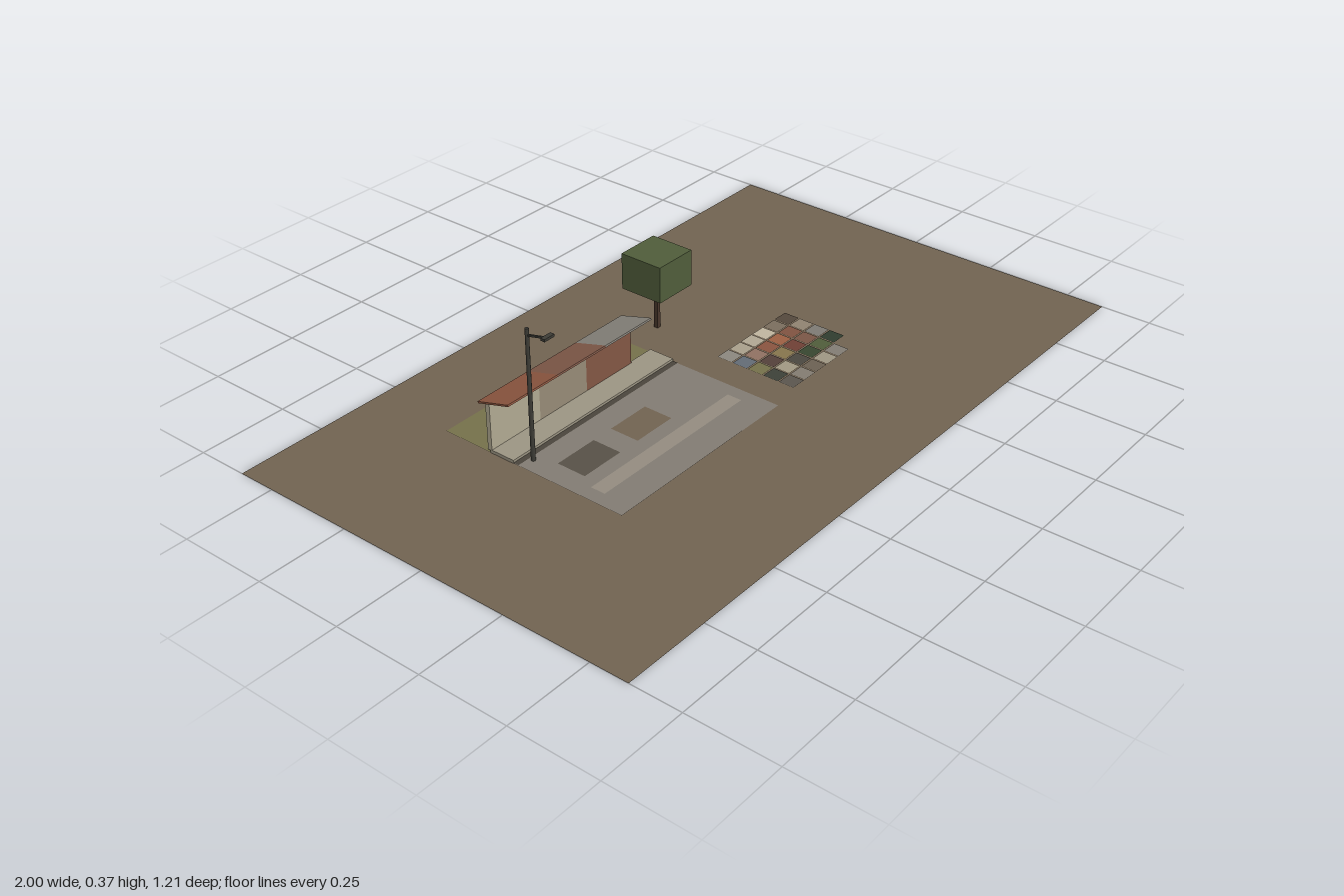
import * as THREE from 'three';

const material = (color) => new THREE.MeshStandardMaterial({ color, side: THREE.DoubleSide });

function addMesh(parent, name, geometry, color, x, y, z) {
  const mesh = new THREE.Mesh(geometry, material(color));
  mesh.name = name;
  mesh.position.set(x, y, z);
  parent.add(mesh);
  return mesh;
}

// Box given by its limits on each axis
function box(parent, name, color, [x0, x1], [y0, y1], [z0, z1]) {
  const geometry = new THREE.BoxGeometry(x1 - x0, y1 - y0, z1 - z0);
  return addMesh(parent, name, geometry, color, (x0 + x1) / 2, (y0 + y1) / 2, (z0 + z1) / 2);
}

// Flat patch lying on the ground at height y
function patch(parent, name, color, [x0, x1], [z0, z1], y) {
  const geometry = new THREE.PlaneGeometry(x1 - x0, z1 - z0).rotateX(-Math.PI / 2);
  return addMesh(parent, name, geometry, color, (x0 + x1) / 2, y, (z0 + z1) / 2);
}

// Square bar running between two points in the yz plane at a given x
function slopedBar(parent, name, color, x, width, thickness, [z0, y0], [z1, y1]) {
  const geometry = new THREE.BoxGeometry(width, thickness, Math.hypot(z1 - z0, y1 - y0));
  const bar = addMesh(parent, name, geometry, color, x, (y0 + y1) / 2, (z0 + z1) / 2);
  bar.rotation.x = -Math.atan2(y1 - y0, z1 - z0);
  return bar;
}

function group(parent, name) {
  const g = new THREE.Group();
  g.name = name;
  parent.add(g);
  return g;
}

export function createModel() {
  const model = new THREE.Group();
  model.name = 'streetCorner';

  // Ground and the surfaces painted on it
  const site = group(model, 'site');
  const lot = [-0.565, 0.04];
  patch(site, 'ground', 0x706250, [-1, 1], [-0.607, 0.607], 0);
  patch(site, 'lawn', 0x74704a, lot, [-0.355, -0.2], 0.002);
  patch(site, 'road', 0x817b72, lot, [-0.13, 0.215], 0.002);
  patch(site, 'gutter', 0x4a453c, lot, [-0.13, -0.112], 0.003);
  patch(site, 'darkRepair', 0x575047, [-0.5, -0.37], [-0.043, 0.043], 0.003);
  patch(site, 'dirtRepair', 0x706250, [-0.305, -0.175], [-0.043, 0.043], 0.003);
  patch(site, 'roadStripe', 0x938b7f, [-0.525, 0], [0.085, 0.128], 0.003);
  box(site, 'pavement', 0x9b9482, lot, [0.001, 0.01], [-0.205, -0.128]);

  // Wall of three panels under a tilted roof of three sheets
  const shelter = group(model, 'shelter');
  const wallColors = [0xb0a891, 0x968a76, 0x825644];
  const roofColors = [0x8c5640, 0x7f5848, 0x86827a];
  for (let i = 0; i < 3; i++) {
    const x = -0.565 + i * 0.1735;
    box(shelter, 'wallPanel', wallColors[i], [x, x + 0.1735], [0.008, 0.14], [-0.212, -0.199]);
    slopedBar(shelter, 'roofSheet', roofColors[i], -0.483 + i * 0.176, 0.176, 0.005,
      [-0.231, 0.138], [-0.13, 0.167]);
  }

  // Street lamp
  const lamp = group(model, 'streetLamp');
  const metal = 0x3d3c36;
  addMesh(lamp, 'pole', new THREE.CylinderGeometry(0.005, 0.006, 0.37, 8), metal, -0.525, 0.186, -0.1);
  slopedBar(lamp, 'arm', metal, -0.525, 0.005, 0.005, [-0.1, 0.352], [-0.035, 0.368]);
  box(lamp, 'lampHead', metal, [-0.541, -0.507], [0.366, 0.373], [-0.042, -0.029]);

  // Tree with a block crown
  const tree = group(model, 'tree');
  box(tree, 'trunk', 0x48362b, [0.149, 0.161], [0, 0.13], [-0.283, -0.271]);
  box(tree, 'crown', 0x4f5c3a, [0.09, 0.22], [0.124, 0.229], [-0.342, -0.211]);

  // Rows of colour tiles
  const tiles = group(model, 'colourTiles');
  const tileColors = [
    [0x8b877e, 0xa99f8b, 0xb0a692, 0xbfb49e, 0x7a6d5d, 0x54483c],
    [0x626b75, 0x8f7061, 0x89543f, 0x9c5f43, 0x7f5340, 0x8f8270],
    [0x74704a, 0x54403a, 0x86744c, 0x6e3f35, 0x7a5646, 0x7d7a73],
    [0x3c4038, 0xa09882, 0x4a473f, 0x37462f, 0x4f5c3a, 0x2f3c2e],
    [0x5a554d, 0x827b70, 0x6b6052, 0x9d9582, 0x817c73],
  ];
  tileColors.forEach((row, r) => row.forEach((color, c) => {
    const x = 0.13 + c * 0.05;
    const z = -0.05 + r * 0.05;
    patch(tiles, 'tile', color, [x, x + 0.046], [z, z + 0.046], 0.003);
  }));

  return model;
}
